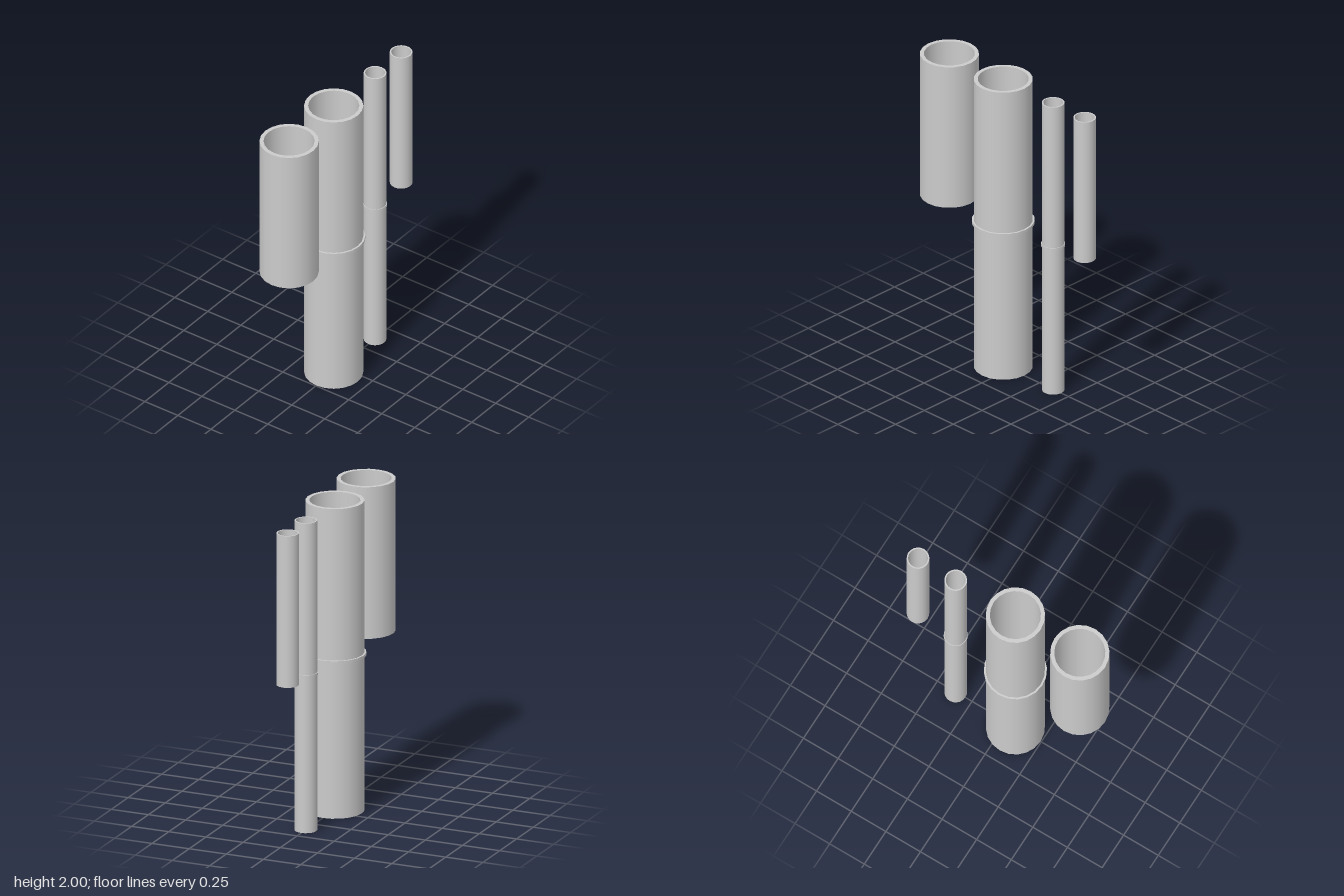
import * as THREE from 'three';

const SIDES = 20;
const material = new THREE.MeshStandardMaterial({ color: 0xcccccc });

// Hollow pipe: four separate surfaces keep the rims sharp and the walls smooth
function pipe(name, outer, inner, y0, y1, z) {
  const group = new THREE.Group();
  group.name = name;
  const surfaces = [
    ['outerWall', outer, y0, outer, y1],
    ['topRim', outer, y1, inner, y1],
    ['innerWall', inner, y1, inner, y0],
    ['bottomRim', inner, y0, outer, y0],
  ];
  for (const [part, ra, ya, rb, yb] of surfaces) {
    const profile = [new THREE.Vector2(ra, ya), new THREE.Vector2(rb, yb)];
    const mesh = new THREE.Mesh(new THREE.LatheGeometry(profile, SIDES), material);
    mesh.name = part;
    group.add(mesh);
  }
  group.position.z = z;
  return group;
}

// Two pipes joined end to end by a slightly wider dividing disc
function joinedPipe(name, outer, inner, discRadius, z) {
  const group = new THREE.Group();
  group.name = name;
  group.add(pipe('lowerPipe', outer, inner, 0, 1.002, 0));
  group.add(pipe('upperPipe', outer, inner, 1.021, 2, 0));
  const disc = new THREE.Mesh(
    new THREE.CylinderGeometry(discRadius, discRadius, 0.019, SIDES), material);
  disc.name = 'dividingDisc';
  disc.position.y = 1.0115;
  group.add(disc);
  group.position.z = z;
  return group;
}

export function createModel() {
  const model = new THREE.Group();
  model.name = 'pipeSet';
  model.add(pipe('wideShortPipe', 0.182, 0.157, 1.021, 2, 0.528));
  model.add(joinedPipe('wideLongPipe', 0.182, 0.157, 0.194, 0.063));
  model.add(joinedPipe('narrowLongPipe', 0.07, 0.061, 0.074, -0.368));
  model.add(pipe('narrowShortPipe', 0.07, 0.061, 1.021, 2, -0.64));
  return model;
}
